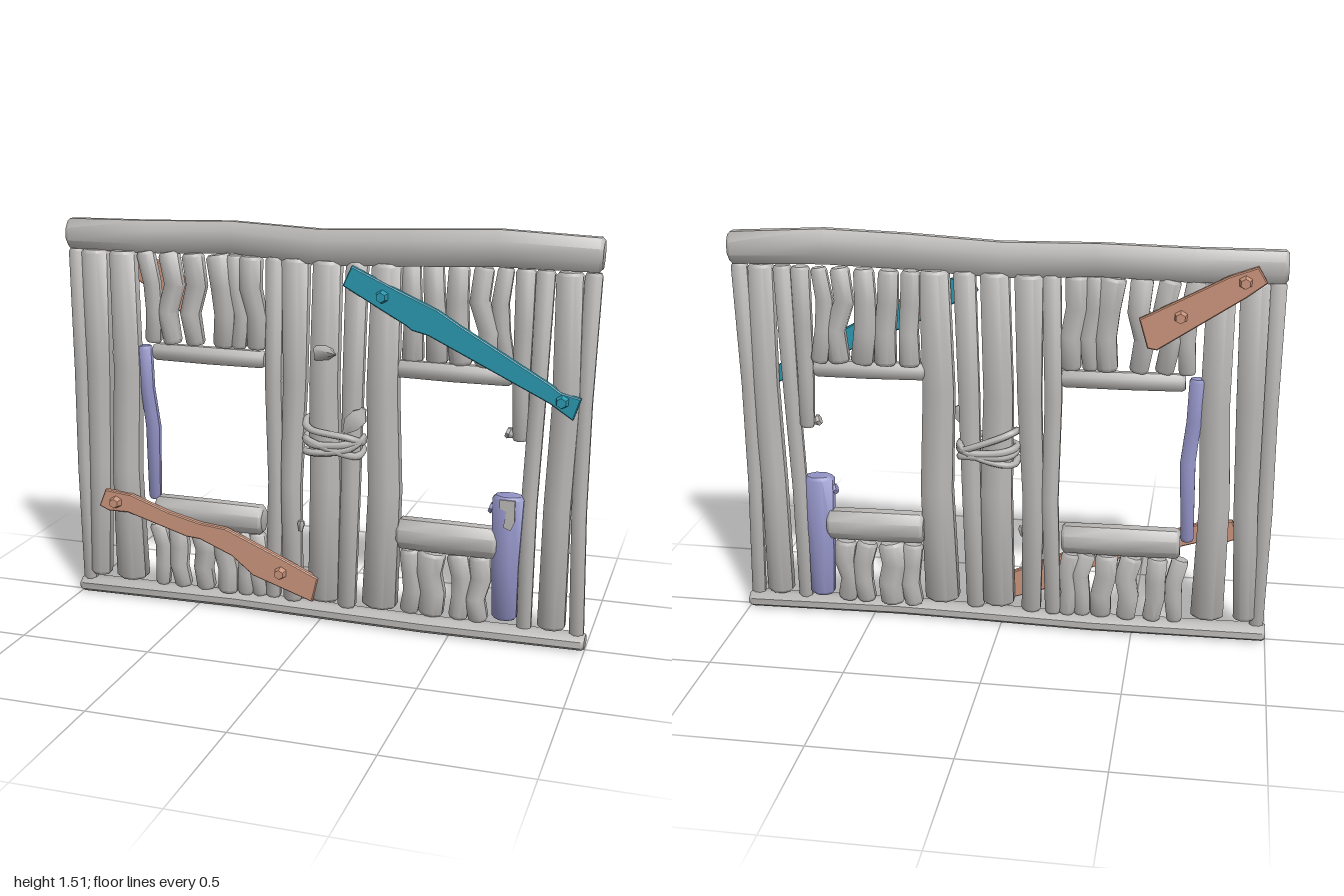
import * as THREE from 'three';
import { toCreasedNormals } from 'three/addons/utils/BufferGeometryUtils.js';

const mat = (name, color) => new THREE.MeshStandardMaterial({ name, color });

export function createModel() {
  const group = new THREE.Group();
  const wood = mat('grey wood', 0xbab8b6);
  const teal = mat('teal board', 0x2a98b0);
  const brown = mat('brown board', 0xc9937a);
  const purple = mat('purple post', 0x9494c8);

  let seed = 7;
  const rnd = () => ((seed = (seed * 16807) % 2147483647) / 2147483647) - 0.5;

  function add(name, geometry, material) {
    const m = new THREE.Mesh(geometry, material);
    m.name = name;
    group.add(m);
    return m;
  }

  // Log swept through points [x, y, halfWidth, z, halfDepth], with chamfered ends
  function log(name, pts, material = wood, sides = 8) {
    const n = pts.length;
    const rings = [];
    pts.forEach((p, i) => {
      const a = pts[Math.max(i - 1, 0)], b = pts[Math.min(i + 1, n - 1)];
      const len = Math.hypot(b[0] - a[0], b[1] - a[1]);
      const t = [(b[0] - a[0]) / len, (b[1] - a[1]) / len];
      const ring = (shift, k) => {
        const out = [];
        for (let s = 0; s < sides; s++) {
          const ang = ((s + 0.5) / sides) * Math.PI * 2;
          const w = Math.cos(ang) * p[2] * k * 1.06;
          const d = Math.sin(ang) * (p[4] ?? p[2] * 0.85) * k * 1.06;
          out.push([p[0] + t[0] * shift + t[1] * w, p[1] + t[1] * shift - t[0] * w, p[3] + d]);
        }
        return out;
      };
      if (i === 0) rings.push(ring(0, 0.8), ring(0.012, 1));
      else if (i === n - 1) rings.push(ring(-0.012, 1), ring(0, 0.8));
      else rings.push(ring(0, 1));
    });
    const v = [];
    const tri = (...c) => c.forEach((q) => v.push(...q));
    for (let r = 0; r < rings.length - 1; r++)
      for (let s = 0; s < sides; s++) {
        const e = (s + 1) % sides, l = rings[r], u = rings[r + 1];
        tri(l[s], u[s], u[e]);
        tri(l[s], u[e], l[e]);
      }
    const first = rings[0], last = rings[rings.length - 1];
    for (let s = 1; s < sides - 1; s++) {
      tri(first[0], first[s], first[s + 1]);
      tri(last[0], last[s + 1], last[s]);
    }
    const g = new THREE.BufferGeometry();
    g.setAttribute('position', new THREE.Float32BufferAttribute(v, 3));
    return add(name, toCreasedNormals(g, 0.85), material);
  }

  // Roughly upright log with a slight natural bend
  function post(name, x0, y0, w0, x1, y1, w1, z = 0, bend = 0.012, material = wood) {
    const at = (t, b) => [x0 + (x1 - x0) * t + b, y0 + (y1 - y0) * t,
      (w0 + (w1 - w0) * t) * (1 + rnd() * 0.08), z + rnd() * 0.012];
    return log(name, [at(0, 0), at(0.35, rnd() * bend), at(0.65, rnd() * bend), at(1, 0)], material);
  }

  // Top and bottom beams
  log('topBeam', [[-1, 1.43, 0.058, -0.005, 0.042], [-0.68, 1.428, 0.062, -0.015, 0.036],
    [-0.35, 1.438, 0.06, -0.028, 0.034], [0, 1.42, 0.066, 0, 0.036], [0.35, 1.435, 0.066, 0.014, 0.036],
    [0.65, 1.446, 0.066, 0.005, 0.038], [1, 1.435, 0.06, -0.01, 0.045]], wood);
  log('bottomBeam', [[-1, 0.03, 0.03, 0, 0.045], [-0.35, 0.03, 0.03, -0.015, 0.04],
    [0.05, 0.03, 0.03, 0, 0.04], [0.4, 0.03, 0.03, 0.01, 0.04], [1, 0.03, 0.03, -0.005, 0.045]], wood);

  // Full-height posts: bottom x, bottom width, top x, top width, z, bottom y
  [[-0.965, 0.028, -0.968, 0.03, 0, 0.05], [-0.92, 0.042, -0.89, 0.052, 0, 0.08],
    [-0.78, 0.06, -0.775, 0.05, 0, 0.08], [-0.2, 0.03, -0.18, 0.033, -0.015, 0.06],
    [-0.115, 0.036, -0.1, 0.05, -0.01, 0.06], [0.01, 0.06, 0.025, 0.053, 0, 0.08],
    [0.1, 0.035, 0.135, 0.04, 0, 0.06], [0.23, 0.065, 0.245, 0.055, 0, 0.08],
    [0.775, 0.026, 0.805, 0.032, -0.01, 0.05], [0.875, 0.05, 0.89, 0.045, 0, 0.07],
    [0.968, 0.026, 0.97, 0.03, 0, 0.05]].forEach(([x0, w0, x1, w1, z, y0]) =>
    post('wallPost', x0, y0, w0, x1, 1.375, w1, z, 0.025));

  // Short posts above the windows
  [[-0.67, -0.69, 0.036], [-0.585, -0.6, 0.04], [-0.495, -0.5, 0.042], [-0.385, -0.4, 0.046],
    [-0.325, -0.335, 0.035], [-0.255, -0.27, 0.042]].forEach(([x0, x1, w]) =>
    post('upperShortPost', x0, 1.03, w * 0.85, x1, 1.375, w, -0.01, 0.04));
  [[0.335, 0.325, 0.038], [0.425, 0.405, 0.04], [0.515, 0.5, 0.042], [0.6, 0.59, 0.038],
    [0.675, 0.665, 0.033]].forEach(([x0, x1, w]) =>
    post('upperShortPost', x0, 1.02, w, x1, 1.375, w * 0.9, -0.025, 0.04));
  post('brokenPost', 0.735, 0.76, 0.028, 0.735, 1.375, 0.035, -0.02, 0.01);

  // Short posts below the windows
  [[-0.66, -0.675, 0.033], [-0.57, -0.59, 0.038], [-0.475, -0.495, 0.042], [-0.38, -0.4, 0.042],
    [-0.31, -0.325, 0.034], [-0.25, -0.265, 0.034], [0.335, 0.34, 0.038], [0.42, 0.425, 0.05],
    [0.525, 0.515, 0.04], [0.605, 0.6, 0.04]].forEach(([x0, x1, w]) =>
    post('lowerShortPost', x0, 0.06, w * 0.9, x1, 0.31, w, x0 > 0 ? -0.02 : -0.01, 0.04));

  // Window rails
  const rail = (name, x0, x1, y, w, z) =>
    log(name, [[x0, y, w, z], [(x0 + x1) / 2, y - 0.003, w * 1.03, z], [x1, y - 0.004, w, z]]);
  rail('leftWindowHead', -0.665, -0.22, 0.997, 0.032, -0.005);
  rail('leftWindowSill', -0.67, -0.23, 0.372, 0.055, -0.005);
  rail('rightWindowHead', 0.28, 0.7, 0.995, 0.032, -0.01);
  rail('rightWindowSill', 0.295, 0.67, 0.375, 0.058, -0.01);

  // Purple window posts
  log('leftPurplePost', [[-0.695, 0.4, 0.024, -0.04], [-0.685, 0.7, 0.028, -0.02],
    [-0.7, 0.85, 0.027, -0.01], [-0.708, 1.015, 0.03, -0.01]], purple);
  log('rightPurplePost', [[0.7, 0.08, 0.046, -0.02], [0.7, 0.3, 0.05, -0.008],
    [0.705, 0.56, 0.058, 0, 0.042]], purple);
  const chip = new THREE.Shape([[0.68, 0.552], [0.735, 0.552], [0.735, 0.47], [0.722, 0.44], [0.695, 0.45],
    [0.705, 0.51], [0.68, 0.52]].map((p) => new THREE.Vector2(...p)));
  add('barkChip', new THREE.ExtrudeGeometry(chip, { depth: 0.008, bevelEnabled: false }), wood)
    .position.z = 0.036;

  // Twig stubs and knots
  log('twigStub', [[0.675, 0.505, 0.011, 0], [0.65, 0.505, 0.013, 0], [0.636, 0.51, 0.022, 0]], purple, 6);
  log('twigStub', [[0.72, 0.775, 0.012, -0.015], [0.698, 0.785, 0.018, -0.015], [0.685, 0.79, 0.022, -0.015]], wood, 6);
  log('twigStub', [[0.75, 0.505, 0.006, 0], [0.785, 0.505, 0.006, 0]], purple, 6);
  log('twigStub', [[-0.075, 0.35, 0.01, 0.025], [-0.072, 0.39, 0.014, 0.025]], wood, 6);
  const spike = add('brokenBranch', new THREE.ConeGeometry(0.042, 0.09, 6), wood);
  spike.position.set(0.045, 1.045, 0.05);
  spike.quaternion.setFromUnitVectors(new THREE.Vector3(0, 1, 0), new THREE.Vector3(0.8, 0.05, 0.6).normalize());

  // Rope wrapped around the middle posts
  [[0.745, -0.035], [0.71, 0], [0.685, 0.03], [0.69, -0.02]].forEach(([y, tilt], i) => {
    const pts = [];
    for (let k = 0; k < 12; k++) {
      const a = (k / 12) * Math.PI * 2, c = Math.cos(a), s = Math.sin(a);
      pts.push(new THREE.Vector3(0.05 + 0.107 * Math.sign(c) * Math.abs(c) ** 0.7,
        y + tilt * c + 0.01 * Math.sin(a * 2 + i), 0.058 * Math.sign(s) * Math.abs(s) ** 0.6));
    }
    add('ropeLoop', new THREE.TubeGeometry(new THREE.CatmullRomCurve3(pts, true), 36, 0.014, 6, true), wood);
  });
  log('ropeEnd', [[0.1, 0.75, 0.012, 0.05], [0.13, 0.79, 0.034, 0.055, 0.012],
    [0.16, 0.82, 0.034, 0.05, 0.012], [0.175, 0.85, 0.014, 0.045, 0.008]], wood, 6);

  // Nailed boards: outline, back z at x = 0, z slope along x, bolts
  function board(name, outline, z0, slope, bolts, material, facing = 1) {
    const shape = new THREE.Shape(outline.map((p) => new THREE.Vector2(...p)));
    const g = new THREE.ExtrudeGeometry(shape, { depth: 0.016, bevelEnabled: true,
      bevelThickness: 0.004, bevelSize: 0.004, bevelSegments: 1 });
    const pos = g.attributes.position;
    for (let i = 0; i < pos.count; i++) pos.setZ(i, pos.getZ(i) + z0 + slope * pos.getX(i));
    g.computeVertexNormals();
    add(name, g, material);
    for (const [x, y] of bolts) {
      const b = add(name + 'Bolt', new THREE.CylinderGeometry(0.018, 0.026, 0.03, 6).toNonIndexed(), material);
      b.geometry.computeVertexNormals();
      b.rotation.x = (facing * Math.PI) / 2;
      b.position.set(x, y, z0 + slope * x + 0.008 + facing * 0.023);
    }
  }
  board('tealBoard', [[0.128, 1.36], [0.098, 1.295], [0.33, 1.165], [0.35, 1.15], [0.41, 1.135],
    [0.81, 0.94], [0.85, 0.92], [0.925, 0.87], [0.948, 0.94], [0.88, 0.957], [0.84, 0.985],
    [0.52, 1.17], [0.44, 1.22], [0.28, 1.29]], 0.032, 0, [[0.24, 1.262], [0.888, 0.93]], teal);
  board('frontBrownBoard', [[-0.855, 0.447], [-0.88, 0.385], [-0.845, 0.37], [-0.765, 0.37], [-0.525, 0.295],
    [-0.47, 0.29], [-0.34, 0.235], [-0.255, 0.165], [-0.025, 0.085], [-0.003, 0.175], [-0.18, 0.255],
    [-0.365, 0.335], [-0.47, 0.347], [-0.6, 0.38], [-0.75, 0.435]], 0.033, -0.02,
  [[-0.813, 0.405], [-0.145, 0.185]], brown);
  board('backBrownBoard', [[-0.895, 1.435], [-0.925, 1.385], [-0.86, 1.335], [-0.56, 1.135], [-0.53, 1.14],
    [-0.5, 1.24], [-0.8, 1.4]], -0.078, -0.01, [[-0.855, 1.385], [-0.64, 1.255]], brown, -1);

  return group;
}
